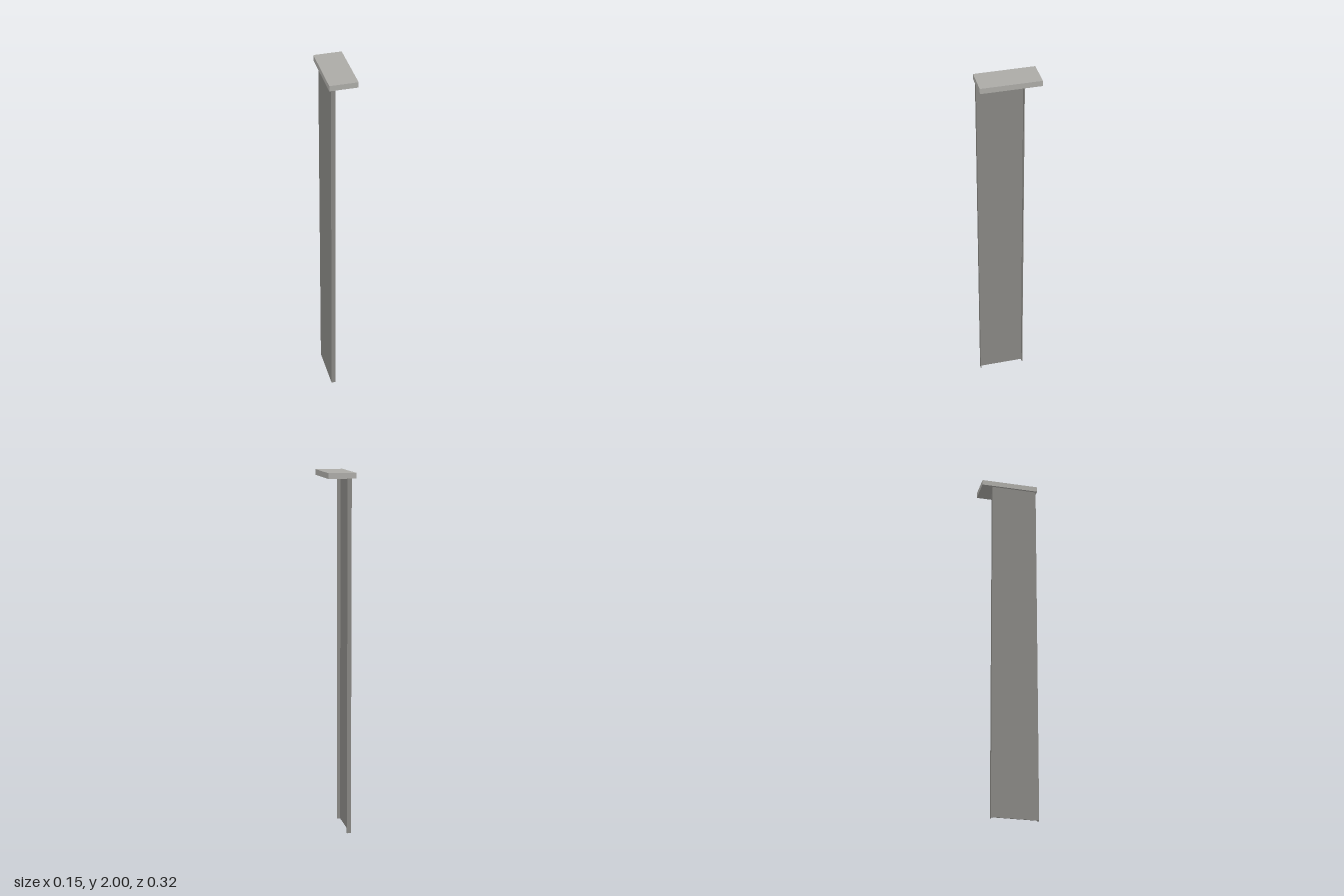
import * as THREE from 'three';

export function createModel() {
  const model = new THREE.Group();
  const capMat = new THREE.MeshStandardMaterial({ color: 0xacaba7 });
  capMat.name = 'light grey';
  const postMat = new THREE.MeshStandardMaterial({ color: 0x888783 });
  postMat.name = 'grey steel';

  // Channel footprint and heights
  const x0 = -0.065, x1 = -0.042, z0 = -0.1, z1 = 0.155, t = 0.004;
  const under = 1.97, lid = 0.006;

  // Plan outlines are drawn as [x, z] and extruded upwards
  const outline = (pts) => pts.map(([x, z]) => new THREE.Vector2(x, -z));
  const prism = (name, shape, y, height, material) => {
    const geo = new THREE.ExtrudeGeometry(shape, { depth: height, bevelEnabled: false });
    geo.rotateX(-Math.PI / 2).translate(0, y, 0);
    const mesh = new THREE.Mesh(geo, material);
    mesh.name = name;
    model.add(mesh);
  };

  // Tall C-shaped post, open towards +x
  prism('channelPost', new THREE.Shape(outline([
    [x0, z0], [x1, z0], [x1, z0 + t], [x0 + t, z0 + t],
    [x0 + t, z1 - t], [x1, z1 - t], [x1, z1], [x0, z1],
  ])), 0, under, postMat);

  // Cap: a plate with a shallow socket above the post, closed by a lid
  const rect = (a, b, c, d) => outline([[a, c], [b, c], [b, d], [a, d]]);
  const plate = new THREE.Shape(rect(-0.075, 0.075, -0.162, 0.162));
  const socketed = plate.clone();
  socketed.holes.push(new THREE.Path(rect(x0 + t, x1, z0 + t, z1 - t)));
  prism('capPlate', socketed, under, 2 - under - lid, capMat);
  prism('capLid', plate, 2 - lid, lid, capMat);

  return model;
}
